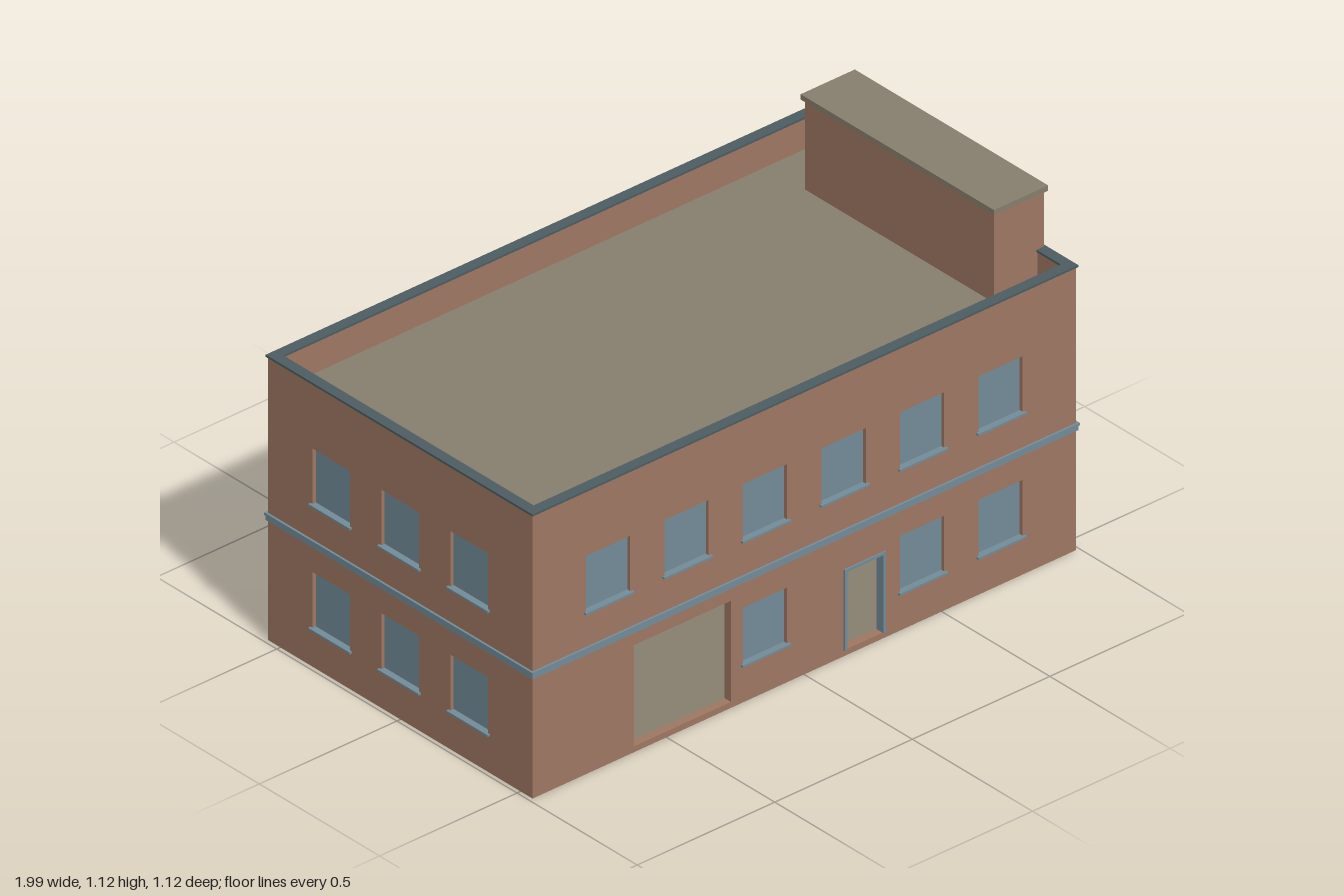
import * as THREE from 'three';

const mat = (name, color) => {
  const m = new THREE.MeshStandardMaterial({ color });
  m.name = name;
  return m;
};

export function createModel() {
  const brick = mat('brick', 0x9f7763);
  const blue = mat('slate blue', 0x738c99);
  const stone = mat('taupe concrete', 0x877e6d);
  const coping = mat('dark slate', 0x4c5d62);

  const model = new THREE.Group();
  model.name = 'building';

  const HX = 0.988, HZ = 0.551, T = 0.026, H = 0.911;

  const add = (parent, name, geometry, material) => {
    const m = new THREE.Mesh(geometry, material);
    m.name = name;
    parent.add(m);
    return m;
  };
  // Box given by its minimum and maximum corners
  const box = (parent, name, material, x0, x1, y0, y1, z0, z1) => {
    const m = add(parent, name, new THREE.BoxGeometry(x1 - x0, y1 - y0, z1 - z0), material);
    m.position.set((x0 + x1) / 2, (y0 + y1) / 2, (z0 + z1) / 2);
    return m;
  };
  const rect = (P, x0, x1, y0, y1) => {
    const p = new P();
    p.moveTo(x0, y0);
    p.lineTo(x1, y0);
    p.lineTo(x1, y1);
    p.lineTo(x0, y1);
    p.closePath();
    return p;
  };
  // Rectangular ring lying flat, from y0 to y1
  const ring = (name, material, ox, oz, ix, iz, y0, y1) => {
    const s = rect(THREE.Shape, -ox, ox, -oz, oz);
    s.holes.push(rect(THREE.Path, -ix, ix, -iz, iz));
    const g = new THREE.ExtrudeGeometry(s, { depth: y1 - y0, bevelEnabled: false });
    g.rotateX(-Math.PI / 2);
    g.translate(0, y0, 0);
    add(model, name, g, material);
  };

  // Wall with its outer face on local z = 0, looking along +z
  const wall = (name, half, windowWidth, upper, lower, door, garage) => {
    const group = new THREE.Group();
    group.name = name;
    const s = rect(THREE.Shape, -half, half, 0.001, H);
    const cut = (x0, x1, y0, y1) => s.holes.push(rect(THREE.Path, x0, x1, y0, y1));

    const w = windowWidth / 2;
    [[upper, 0.523, 0.702], [lower, 0.125, 0.305]].forEach(([centres, y0, y1]) => {
      for (const c of centres) {
        cut(c - w, c + w, y0, y1);
        box(group, 'windowPane', blue, c - w, c + w, y0, y1, -0.018, -0.012);
        box(group, 'windowSill', blue, c - w - 0.008, c + w + 0.008, y0 - 0.006, y0 + 0.001, -0.012, 0.009);
      }
    });
    if (door) {
      const [x0, x1, y0, y1] = [0.143, 0.293, 0.02, 0.28], f = 0.009;
      cut(x0, x1, y0, y1);
      box(group, 'doorJamb', blue, x0, x0 + f, y0, y1, -T, 0.005);
      box(group, 'doorJamb', blue, x1 - f, x1, y0, y1, -T, 0.005);
      box(group, 'doorHead', blue, x0 + f, x1 - f, y1 - f, y1, -T, 0.005);
    }
    if (garage) cut(-0.62, -0.267, 0.02, 0.345);

    const g = new THREE.ExtrudeGeometry(s, { depth: T, bevelEnabled: false });
    g.translate(0, 0, -T);
    add(group, 'wallBrick', g, brick);
    model.add(group);
    return group;
  };

  // Outer walls
  const cols = [-0.713, -0.428, -0.143, 0.143, 0.428, 0.713];
  const sideCols = [-0.287, 0, 0.287];
  wall('frontWall', HX, 0.16, cols, [-0.143, 0.428, 0.713], true, true).position.z = HZ;
  const back = wall('backWall', HX, 0.16, cols, cols.filter((c) => c !== 0.143), true, false);
  back.position.z = -HZ;
  back.rotation.y = Math.PI;
  for (const side of [1, -1]) {
    const g = wall(side > 0 ? 'leftWall' : 'rightWall', HZ - T, 0.156, sideCols, sideCols, false, false);
    g.position.x = side * HX;
    g.rotation.y = side * Math.PI / 2;
  }

  // Floor and roof slabs
  box(model, 'floorSlab', stone, -HX + 0.004, HX - 0.004, 0, 0.02, -HZ + 0.004, HZ - 0.004);
  box(model, 'roofSlab', stone, -HX + T, HX - T, 0.79, 0.81, -HZ + T, HZ - T);

  // String course between the storeys and coping on the parapet
  ring('stringCourse', blue, HX + 0.004, HZ + 0.004, HX - 0.002, HZ - 0.002, 0.386, 0.402);
  ring('stringCourseLip', blue, HX + 0.007, HZ + 0.007, HX - 0.002, HZ - 0.002, 0.402, 0.41);
  ring('parapetCoping', coping, HX + 0.004, HZ + 0.004, HX - T - 0.004, HZ - T - 0.004, H - 0.001, 0.917);

  // Rooftop stair house, open at its back end
  const house = new THREE.Group();
  house.name = 'stairHouse';
  model.add(house);
  const [x0, x1, z0, z1, y0, y1] = [0.803, 0.986, -0.365, 0.42, 0.81, 1.098];
  box(house, 'stairHouseOuterWall', brick, x1 - T, x1, y0, y1, z0, z1);
  box(house, 'stairHouseInnerWall', brick, x0, x0 + T, y0, y1, z0, z1);
  box(house, 'stairHouseFrontWall', brick, x0 + T, x1 - T, y0, y1, z1 - T, z1);
  box(house, 'stairHouseLintel', brick, x0 + T, x1 - T, 1.06, y1, z0, z0 + T);
  box(house, 'stairHouseCap', stone, x0 - 0.008, x1 + 0.006, y1, 1.115, z0 - 0.01, z1 + 0.01);

  return model;
}
